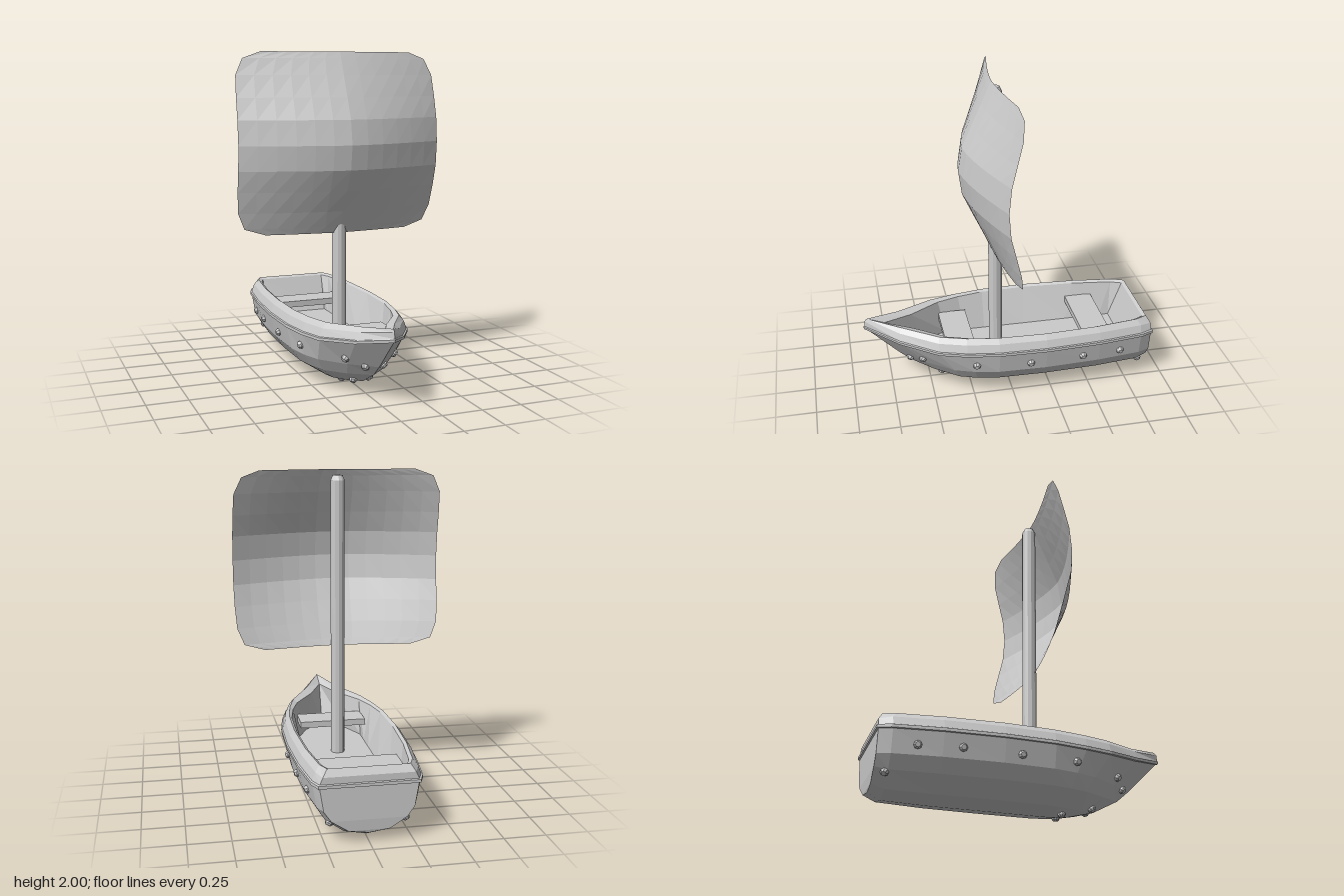
import * as THREE from 'three';

const grey = new THREE.MeshStandardMaterial({ color: 0xcccccc, flatShading: true });
const thin = new THREE.MeshStandardMaterial({ color: 0xcccccc, flatShading: true, side: THREE.DoubleSide });

function addMesh(parent, name, geometry, x = 0, y = 0, z = 0, material = grey) {
  const mesh = new THREE.Mesh(geometry, material);
  mesh.name = name;
  mesh.position.set(x, y, z);
  parent.add(mesh);
  return mesh;
}

// Stations from stern to bow: z and half width at the rail
const STATION_Z = [-0.905, -0.83, -0.55, -0.2, 0.1, 0.3, 0.47, 0.7, 0.91];
const HALF_WIDTH = [0.28, 0.31, 0.345, 0.362, 0.353, 0.322, 0.275, 0.145, 0];
const BOW_RISE = [0, 0, 0, 0, 0, 0, 0.06, 0.4, 1];
const STERN_RISE = [1, 0.15, 0, 0, 0, 0, 0, 0, 0];

// Hull levels, from the keel up the outside, over the rim and down to the floor:
// y, width factor, inset, stern z, bow z, rise at bow, rise at stern
const LEVELS = [
  [0.012, 0, 0, -0.895, 0.30, 0.012, 0.045],
  [0.04, 0.42, 0, -0.9, 0.46, 0.025, 0.035],
  [0.12, 0.77, 0, -0.905, 0.62, 0.03, 0.02],
  [0.2, 0.92, 0, -0.905, 0.70, 0.02, 0],
  [0.335, 1, 0, -0.905, 0.895, 0.08, 0],
  [0.338, 1, -0.008, -0.915, 0.91, 0.08, 0],
  [0.356, 1, -0.008, -0.915, 0.915, 0.08, 0],
  [0.36, 1, 0, -0.905, 0.908, 0.08, 0],
  [0.41, 1, 0.018, -0.905, 0.905, 0.065, -0.01],
  [0.442, 1, 0.045, -0.88, 0.89, 0.05, 0],
  [0.43, 1, 0.062, -0.86, 0.78, 0.02, 0],
  [0.2, 0.95, 0, -0.77, 0.67, 0, 0],
];

function levelRing([y, k, inset, z0, z1, bow, stern], isFloor) {
  const side = STATION_Z.map((z, i) => {
    const last = i === STATION_Z.length - 1;
    let x = last || k === 0 ? 0 : Math.max(0, HALF_WIDTH[i] * k - inset);
    if (isFloor) x = Math.min(x, 0.21);
    const zz = z < 0 ? z * z0 / -0.905 : 0.1 + (z - 0.1) * (z > 0.1 ? (z1 - 0.1) / 0.81 : 1);
    return new THREE.Vector3(x, y + BOW_RISE[i] * bow + STERN_RISE[i] * stern, zz);
  });
  const mirrored = side.slice(0, -1).reverse().map(p => new THREE.Vector3(-p.x, p.y, p.z));
  return [...side, ...mirrored];
}

function hullGeometry() {
  const rings = LEVELS.map((l, i) => levelRing(l, i === LEVELS.length - 1));
  const pos = [];
  const tri = (a, b, c) => {
    const area = b.clone().sub(a).cross(c.clone().sub(a)).length();
    if (area > 1e-8) for (const p of [a, b, c]) pos.push(p.x, p.y, p.z);
  };
  const m = rings[0].length;
  // Skin; closing each ring also closes the transom
  for (let l = 0; l < rings.length - 1; l++) {
    const lo = rings[l], up = rings[l + 1];
    for (let j = 0; j < m; j++) {
      const n = (j + 1) % m;
      tri(lo[j], up[j], up[n]);
      tri(lo[j], up[n], lo[n]);
    }
  }
  // Floor inside the boat
  const f = rings[rings.length - 1];
  for (let j = 0; j < STATION_Z.length - 1; j++) {
    tri(f[j], f[m - 1 - j], f[m - 2 - j]);
    tri(f[j], f[m - 2 - j], f[j + 1]);
  }
  const geo = new THREE.BufferGeometry();
  geo.setAttribute('position', new THREE.Float32BufferAttribute(pos, 3));
  geo.computeVertexNormals();
  return geo;
}

// Sail rows from foot to head: y, half width, bulge
const SAIL_ROWS = [
  [0.9, 0.46, 0], [0.94, 0.59, 0.09], [1.04, 0.632, 0.31], [1.17, 0.642, 0.61], [1.3, 0.645, 0.9],
  [1.45, 0.645, 1], [1.6, 0.645, 0.88], [1.73, 0.643, 0.6], [1.86, 0.637, 0.31], [1.96, 0.59, 0.09], [2, 0.48, 0],
];

function sailGeometry() {
  const cols = 12, rows = SAIL_ROWS.length - 1;
  const geo = new THREE.PlaneGeometry(1, 1, cols, rows);
  const p = geo.attributes.position;
  for (let i = 0; i < p.count; i++) {
    const [y, w, b] = SAIL_ROWS[rows - Math.floor(i / (cols + 1))];
    const x = p.getX(i) * 2 * w;
    const c = Math.pow(Math.abs(x) / 0.645, 1.5);
    p.setXYZ(i, x, y, 0.08 + 0.205 * b - c * (0.09 + 0.09 * b));
  }
  geo.computeVertexNormals();
  return geo;
}

export function createModel() {
  const boat = new THREE.Group();
  boat.name = 'sailingBoat';

  const hull = addMesh(boat, 'hull', hullGeometry());
  addMesh(boat, 'rearBench', new THREE.BoxGeometry(0.51, 0.04, 0.18), 0, 0.33, -0.56);
  addMesh(boat, 'frontBench', new THREE.BoxGeometry(0.43, 0.04, 0.18), 0, 0.33, 0.32);

  // Mast with a bevelled head
  const mastProfile = [[0, 0.19], [0.044, 0.19], [0.044, 1.935], [0.03, 1.965], [0, 1.965]];
  const mast = new THREE.LatheGeometry(mastProfile.map(([r, y]) => new THREE.Vector2(r, y)), 12);
  addMesh(boat, 'mast', mast, 0, 0, 0.062);
  addMesh(boat, 'sail', sailGeometry(), 0, 0, 0, thin);

  // Rivets seated on the hull skin, mirrored left and right
  const rivets = new THREE.Group();
  rivets.name = 'rivets';
  boat.add(rivets);
  const profile = [[0, -0.015], [0.024, -0.015], [0.024, 0.008], [0.015, 0.02], [0, 0.02]];
  const rivet = new THREE.LatheGeometry(profile.map(([r, y]) => new THREE.Vector2(r, y)), 8);
  const up = new THREE.Vector3(0, 1, 0);
  const ray = new THREE.Raycaster();
  const seat = (origin, direction) => {
    ray.set(origin, direction);
    const hit = ray.intersectObject(hull)[0];
    if (!hit) return;
    const { x, y, z } = hit.point;
    addMesh(rivets, 'rivet', rivet, x, y, z).quaternion.setFromUnitVectors(up, hit.face.normal);
  };
  const sideSpots = [[0.28, 0.76], [0.25, 0.56], [0.26, 0.24], [0.255, -0.1], [0.26, -0.44], [0.255, -0.69], [0.115, -0.845]];
  const keelSpots = [[0.055, 0.63], [0.05, 0.43], [0.05, 0.24]];
  for (const s of [1, -1]) {
    for (const [y, z] of sideSpots) seat(new THREE.Vector3(s, y, z), new THREE.Vector3(-s, 0, 0));
    for (const [x, z] of keelSpots) seat(new THREE.Vector3(s * x, -1, z), up);
  }
  return boat;
}
